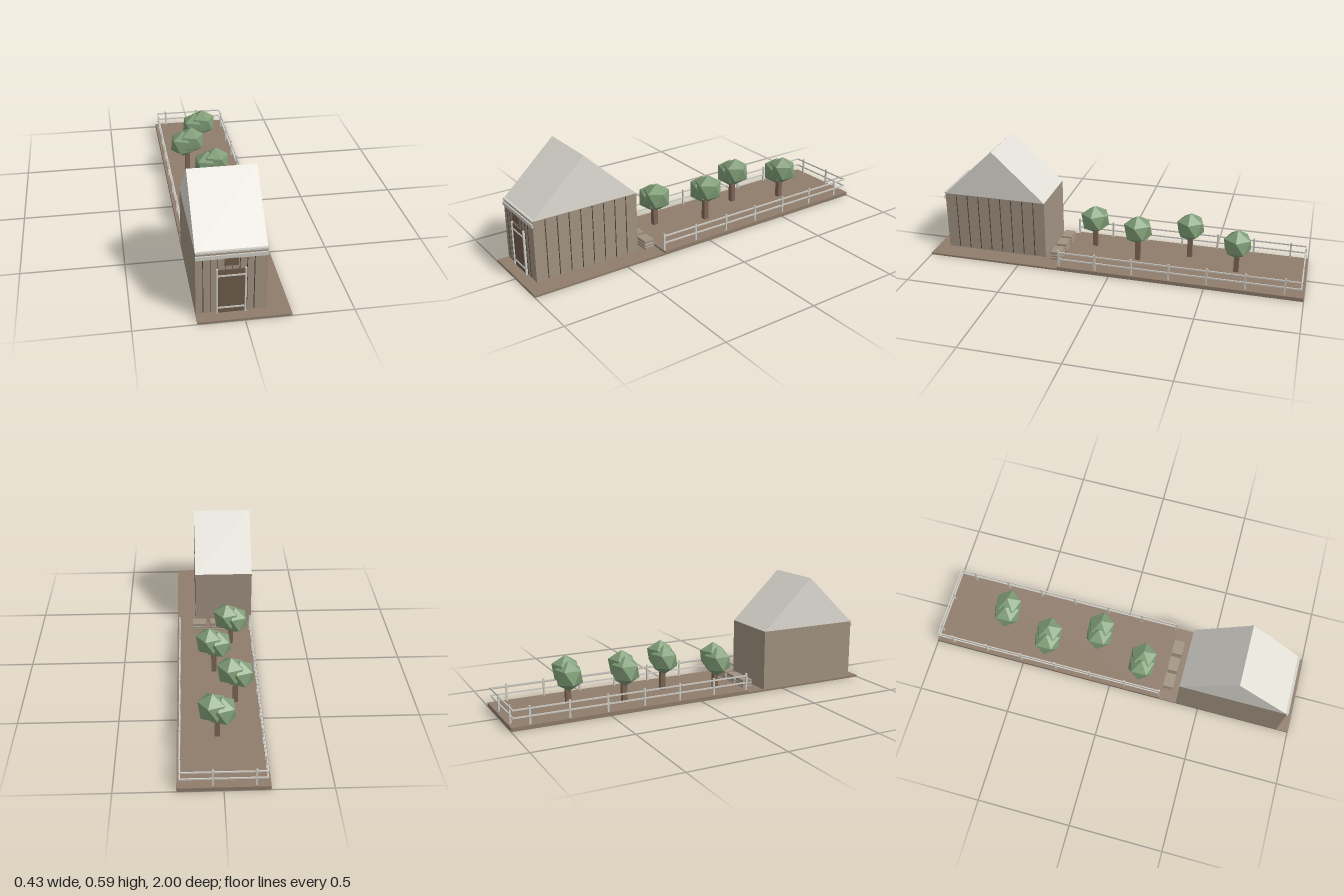
import * as THREE from 'three';

const mat = (color) => new THREE.MeshStandardMaterial({ color, flatShading: true });

export function createModel() {
  const model = new THREE.Group();
  const soil = mat(0x8f7c6b), plank = mat(0xa09280), dark = mat(0x4f4238), door = mat(0x6e5b4c);
  const pale = mat(0xe0ddd5), rail = mat(0xcfcdc6), bark = mat(0x7d6656), leaf = mat(0x7f9d76);

  // Box given by its minimum and maximum on each axis
  function box(name, material, [x0, x1], [y0, y1], [z0, z1], parent = model) {
    const mesh = new THREE.Mesh(new THREE.BoxGeometry(x1 - x0, y1 - y0, z1 - z0), material);
    mesh.position.set((x0 + x1) / 2, (y0 + y1) / 2, (z0 + z1) / 2);
    mesh.name = name;
    parent.add(mesh);
    return mesh;
  }
  function group(name) {
    const g = new THREE.Group();
    g.name = name;
    model.add(g);
    return g;
  }

  // Ground: thin yard slab and a raised orchard bed
  box('yardGround', soil, [-0.213, 0.213], [0, 0.01], [0.28, 1]);
  box('orchardGround', soil, [-0.213, 0.213], [0, 0.02], [-1, 0.28]);

  // House walls with dark plank joints on the front and the left side
  const house = group('house');
  const left = -0.213, right = 0.107, back = 0.377, front = 0.938;
  box('walls', plank, [left, right], [0.01, 0.328], [back, front], house);
  for (let i = 0; i < 8; i++) {
    const x = -0.18 + i * 0.0328;
    box('frontPlankJoint', dark, [x - 0.0018, x + 0.0018], [0.015, 0.3], [front, front + 0.002], house);
  }
  for (let i = 1; i < 9; i++) {
    const z = back + (i * (front - back)) / 9;
    box('sidePlankJoint', dark, [right, right + 0.0015], [0.015, 0.325], [z - 0.002, z + 0.002], house);
  }

  // Gabled roof, ridge running left to right
  const gable = new THREE.Shape([
    new THREE.Vector2(-front, 0.328), new THREE.Vector2(-back, 0.328),
    new THREE.Vector2(-(front + back) / 2, 0.592),
  ]);
  const roofGeometry = new THREE.ExtrudeGeometry(gable, { depth: right - left, bevelEnabled: false });
  roofGeometry.rotateY(Math.PI / 2).translate(left, 0, 0);
  const roof = new THREE.Mesh(roofGeometry, pale);
  roof.name = 'roof';
  house.add(roof);

  // Trim below the front eave
  box('fascia', rail, [left, 0.109], [0.297, 0.315], [front, 0.945], house);
  box('eaveStrip', rail, [-0.21, 0.107], [0.327, 0.335], [0.928, 0.944], house);

  // Door with its frame, and a blank hanging board above
  box('door', door, [-0.114, 0.007], [0.01, 0.237], [front, 0.944], house);
  for (const x of [-0.122, 0.006])
    box('doorPost', rail, [x, x + 0.008], [0.01, 0.243], [front, 0.95], house);
  for (const y of [0.035, 0.205])
    box('doorBar', rail, [-0.114, 0.007], [y, y + 0.007], [front, 0.948], house);
  box('hangingBoard', door, [-0.086, -0.023], [0.263, 0.299], [front, 0.949], house);

  // Three slatted crates behind the house
  for (const x of [-0.148, -0.053, 0.047]) {
    const crate = group('crate');
    box('crateCore', rail, [x + 0.002, x + 0.076], [0.01, 0.053], [0.29, 0.341], crate);
    for (const y of [0.01, 0.025, 0.041])
      box('crateSlat', plank, [x, x + 0.078], [y, y + 0.011 + (y > 0.04 ? 0.004 : 0)], [0.288, 0.343], crate);
  }

  // Fence along both sides and the back
  const fence = group('fence');
  const post = (x, z) => box('fencePost', rail, [x - 0.0045, x + 0.0045], [0.02, 0.111], [z - 0.0045, z + 0.0045], fence);
  for (const side of [-1, 1]) {
    const x = side * 0.198;
    for (let i = 0; i < 7; i++) post(x, 0.275 - i * 0.1965);
  }
  for (const x of [-0.147, 0.049]) post(x, -0.985);
  for (const y of [0.06, 0.098]) {
    for (const x of [-0.198, 0.198])
      box('sideRail', rail, [x - 0.003, x + 0.003], [y - 0.0035, y + 0.0035], [-0.988, 0.277], fence);
    box('backRail', rail, [-0.201, 0.201], [y - 0.0035, y + 0.0035], [-0.988, -0.982], fence);
  }

  // Fruit trees: a square trunk under two faceted crowns, a vertex pointing up
  const crown = new THREE.IcosahedronGeometry(0.078, 0);
  crown.rotateX(-Math.atan2((1 + Math.sqrt(5)) / 2, 1)).rotateY(Math.PI / 2);
  const trees = [[-0.083, 0.15, 0], [0.018, -0.113, 0.018], [-0.083, -0.377, 0.018], [0.018, -0.64, 0]];
  for (const [x, z, lift] of trees) {
    const tree = group('tree');
    box('trunk', bark, [x - 0.013, x + 0.013], [0.02, 0.14], [z - 0.013, z + 0.013], tree);
    for (const side of [-1, 1]) {
      const mesh = new THREE.Mesh(crown, leaf);
      mesh.name = 'crown';
      mesh.position.set(x + side * 0.0235, 0.178 + side * 0.01 + lift, z);
      tree.add(mesh);
    }
  }
  return model;
}
